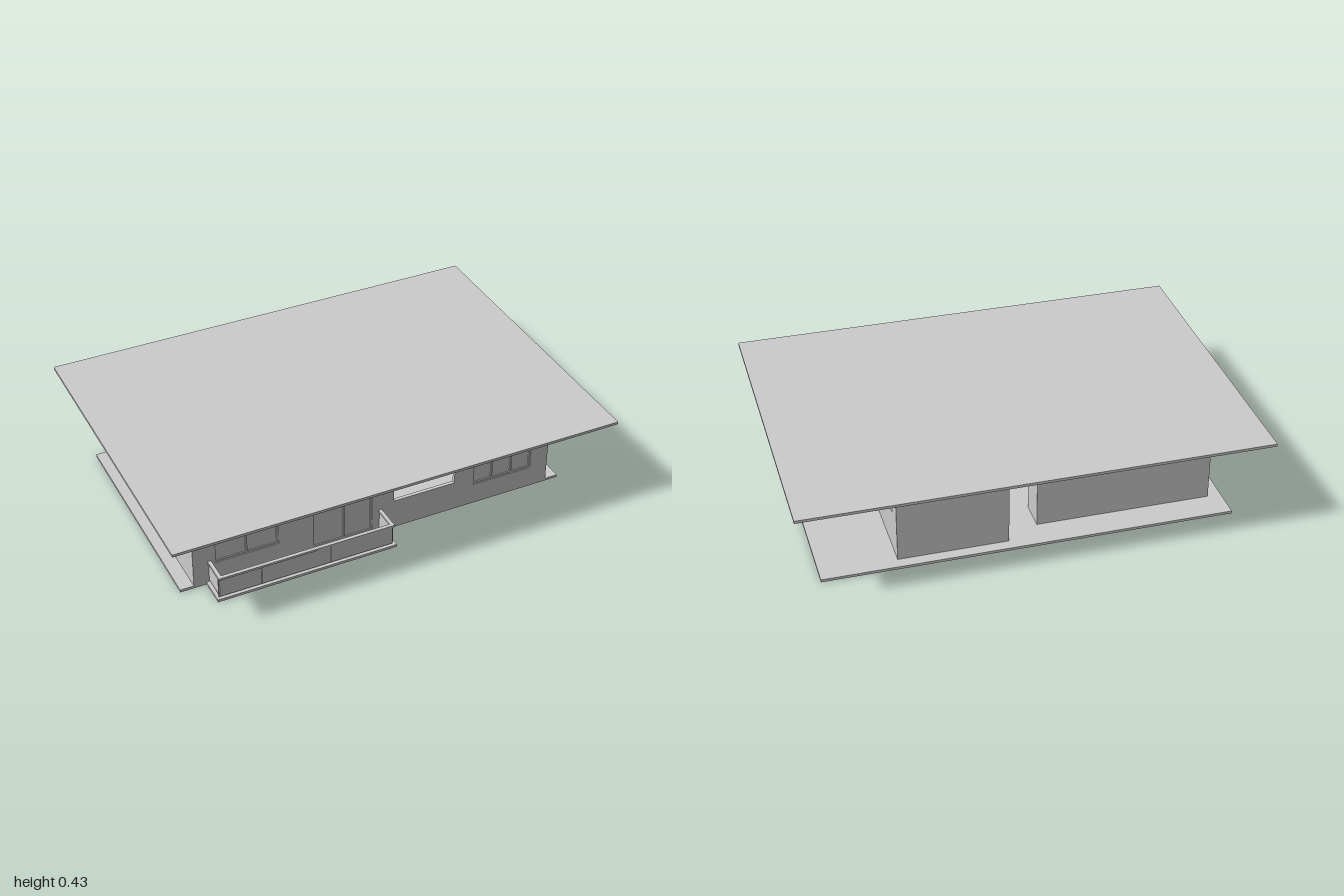
import * as THREE from 'three';

const BASE = 0.012, CEIL = 0.415, T = 0.016; // slab top, ceiling, wall thickness

export function createModel() {
  const house = new THREE.Group();
  const mat = new THREE.MeshStandardMaterial({ color: 0xcccccc });

  // box given by its extents
  function box(name, x0, x1, y0, y1, z0, z1, parent = house) {
    const m = new THREE.Mesh(new THREE.BoxGeometry(x1 - x0, y1 - y0, z1 - z0), mat);
    m.position.set((x0 + x1) / 2, (y0 + y1) / 2, (z0 + z1) / 2);
    m.name = name;
    parent.add(m);
    return m;
  }

  // wall slab in the (u, y) plane with rectangular holes [u0, u1, y0, y1]
  function wallGeometry(u0, u1, holes) {
    const rect = (C, a, b, c, d) => {
      const p = new C();
      p.moveTo(a, c); p.lineTo(b, c); p.lineTo(b, d); p.lineTo(a, d); p.closePath();
      return p;
    };
    const shape = rect(THREE.Shape, u0, u1, BASE, CEIL);
    for (const h of holes) shape.holes.push(rect(THREE.Path, ...h));
    return new THREE.ExtrudeGeometry(shape, { depth: T, bevelEnabled: false });
  }
  // wall along x, occupying z .. z + T
  function wallX(name, x0, x1, z, holes = []) {
    const m = new THREE.Mesh(wallGeometry(x0, x1, holes), mat);
    m.position.z = z;
    m.name = name;
    house.add(m);
  }
  // wall along z, occupying x .. x + T
  function wallZ(name, z0, z1, x, holes = []) {
    const flipped = holes.map(([a, b, c, d]) => [-b, -a, c, d]);
    const m = new THREE.Mesh(wallGeometry(-z1, -z0, flipped), mat);
    m.rotation.y = Math.PI / 2;
    m.position.x = x;
    m.name = name;
    house.add(m);
  }

  // framed window with upright bars and a thin pane, front at z
  function glazing(name, x0, x1, y0, y1, z, bars) {
    const g = new THREE.Group(), f = 0.007, d = 0.01;
    g.name = name;
    box('bottomRail', x0, x1, y0, y0 + f, z - d, z, g);
    box('topRail', x0, x1, y1 - f, y1, z - d, z, g);
    for (const x of [x0 + f / 2, x1 - f / 2, ...bars])
      box('upright', x - f / 2, x + f / 2, y0 + f, y1 - f, z - d, z, g);
    box('pane', x0 + f, x1 - f, y0 + f, y1 - f, z - d * 0.8, z - d * 0.5, g);
    house.add(g);
  }

  // floor slab, balcony slab and flat roof
  box('floorSlab', -0.89, 0.89, 0, BASE, -0.56, 0.455);
  box('balconySlab', -0.775, 0.035, 0, BASE, 0.455, 0.577);
  box('roof', -1, 1, CEIL, 0.427, -0.705, 0.705);

  // outer walls
  wallX('frontWall', -0.83, 0.08, 0.455 - T, [
    [-0.735, -0.45, 0.1, 0.327], [-0.295, -0.02, 0.018, 0.327]]);
  box('porchParapet', 0.08, 0.37, BASE, 0.14, 0.455 - T, 0.455);
  wallX('frontRightWall', 0.37, 0.83, 0.455 - T, [[0.46, 0.745, 0.1, 0.33]]);
  wallZ('leftSideWall', -0.13 + T, 0.455 - T, 0.83 - T);
  wallZ('rightSideWall', -0.43 + T, 0.455 - T, -0.83);
  wallX('rearWall', -0.83, -0.06, -0.43);
  box('rearDoorLintel', -0.06, 0.084, 0.335, CEIL, -0.43, -0.43 + T);
  wallX('rearBlockWall', 0.084, 0.56, -0.51);
  wallZ('rearBlockSide', -0.51 + T, -0.13, 0.56 - T, [[-0.43, -0.35, 0.197, 0.335]]);
  wallX('recessWall', 0.084, 0.83, -0.13, [[0.16, 0.29, BASE + 0.001, 0.335]]);

  // partitions inside
  wallZ('blockPartition', -0.51 + T, -0.27, 0.084);
  wallZ('porchPartition', -0.13 + T, 0.19, 0.084 - T);
  wallX('roomPartition', -0.45, 0.084, 0.19);

  // windows and doors
  const zf = 0.455 - 0.004;
  glazing('livingWindow', -0.735, -0.45, 0.1, 0.327, zf, [-0.592]);
  glazing('balconyDoor', -0.295, -0.02, 0.018, 0.327, zf, [-0.152]);
  glazing('bedroomWindow', 0.46, 0.745, 0.1, 0.33, zf, [0.555, 0.65]);
  glazing('entranceDoor', 0.16, 0.29, BASE, 0.335, -0.118, [0.18, 0.22, 0.26]);
  box('rearDoorLeaf', -0.068, -0.06, BASE, 0.33, -0.43 + T, -0.3);

  // balcony parapet: panels between slim posts, with a coping on top
  const balcony = new THREE.Group();
  balcony.name = 'balconyParapet';
  house.add(balcony);
  const joints = [-0.762, -0.576, -0.265, 0.02], zb = 0.57, p = 0.008;
  for (let i = 0; i < 3; i++)
    box('frontPanel', joints[i], joints[i + 1] - 0.003, 0.02, 0.107, zb - p, zb, balcony);
  for (const x of joints)
    box('post', x - 0.003, x + 0.003, BASE, 0.107, zb - p - 0.005, zb - p, balcony);
  box('frontCoping', -0.767, 0.025, 0.107, 0.117, zb - p - 0.004, zb + 0.004, balcony);
  for (const x of [-0.762, 0.02 - p]) {
    box('sidePanel', x, x + p, 0.02, 0.107, 0.457, zb - p, balcony);
    box('sideCoping', x - 0.004, x + p + 0.004, 0.107, 0.117, 0.455, zb - p - 0.004, balcony);
  }

  return house;
}
